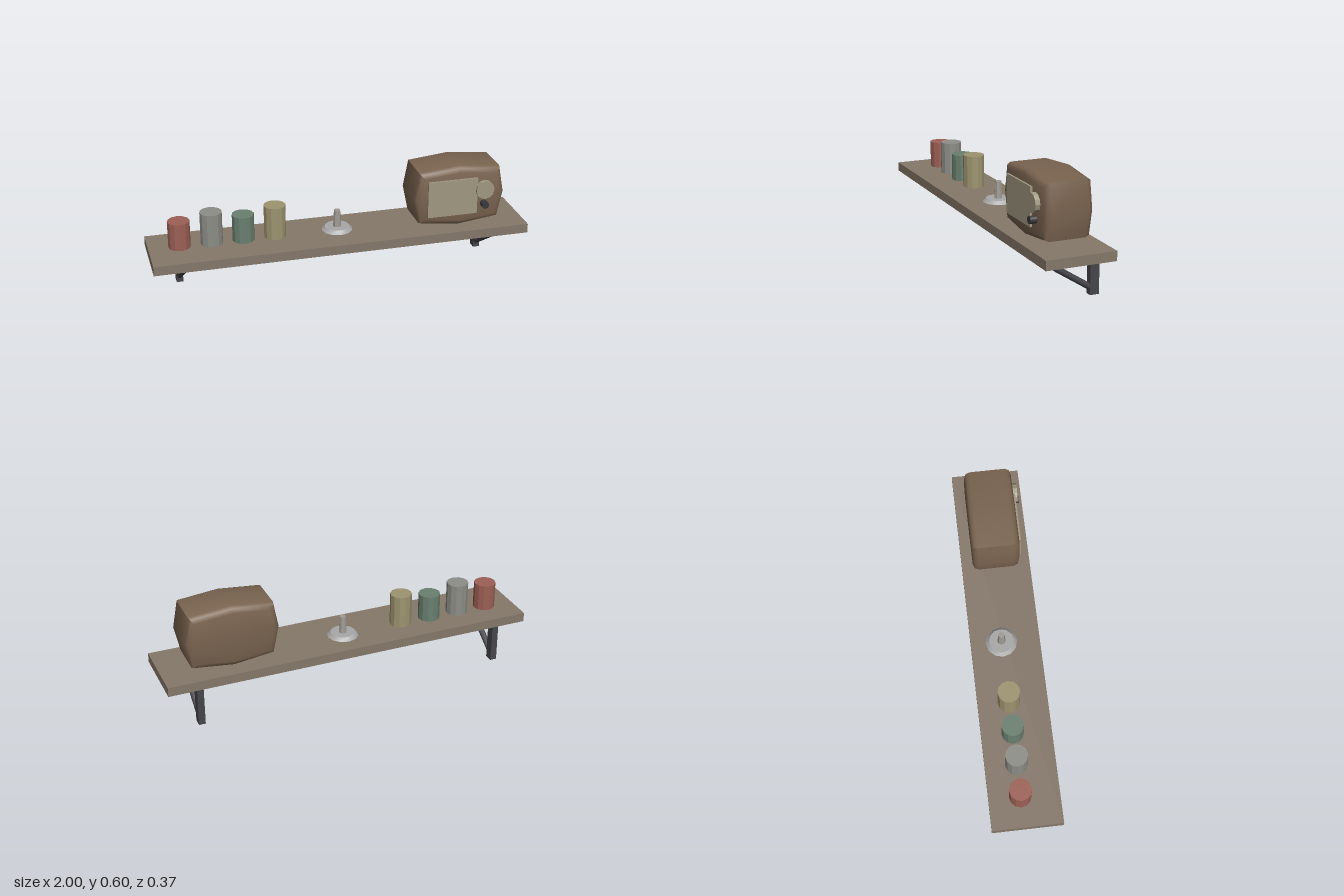
import * as THREE from 'three';
import { toCreasedNormals } from 'three/addons/utils/BufferGeometryUtils.js';

const material = (color) => new THREE.MeshStandardMaterial({ color });

function add(parent, name, geometry, mat, x = 0, y = 0, z = 0) {
  const mesh = new THREE.Mesh(geometry, mat);
  mesh.name = name;
  mesh.position.set(x, y, z);
  parent.add(mesh);
  return mesh;
}

// Low-sided round part with visible facets
const drum = (rTop, rBottom, height, sides = 12) =>
  toCreasedNormals(new THREE.CylinderGeometry(rTop, rBottom, height, sides), 0.4);

// Wall bracket: square post and a sloping round strut
function createBracket(x, mat) {
  const bracket = new THREE.Group();
  bracket.name = 'bracket';
  bracket.position.x = x;
  add(bracket, 'bracketPost', new THREE.BoxGeometry(0.035, 0.21, 0.048), mat, 0, 0.105, -0.149);
  const low = new THREE.Vector3(0, 0.031, -0.14);
  const high = new THREE.Vector3(0, 0.218, 0.151);
  const along = high.clone().sub(low);
  const strut = add(bracket, 'bracketStrut', new THREE.CylinderGeometry(0.016, 0.016, along.length(), 10), mat);
  strut.position.copy(low).lerp(high, 0.5);
  strut.quaternion.setFromUnitVectors(new THREE.Vector3(0, 1, 0), along.normalize());
  return bracket;
}

// Table radio: bulging bevelled case, front panel, dial and knob
function createRadio() {
  const radio = new THREE.Group();
  radio.name = 'radio';
  radio.position.set(0.632, 0.435, 0);
  const outline = [
    [-0.248, 0], [-0.218, -0.141], [0, -0.167], [0.218, -0.141],
    [0.248, 0], [0.221, 0.145], [0, 0.167], [-0.221, 0.145],
  ].map(([x, y]) => new THREE.Vector2(x, y));
  const bevel = 0.03;
  const body = new THREE.ExtrudeGeometry(new THREE.Shape(outline), {
    depth: 0.25 - 2 * bevel, bevelThickness: bevel, bevelSize: bevel,
    bevelOffset: -bevel, bevelSegments: 2,
  });
  body.translate(0, 0, bevel - 0.125);
  add(radio, 'radioCase', toCreasedNormals(body, 1.0), material(0x7a6450));

  const panelMat = material(0xa09880);
  add(radio, 'radioPanel', new THREE.BoxGeometry(0.272, 0.2, 0.02), panelMat, -0.044, 0.001, 0.126);
  const dial = add(radio, 'radioDial', drum(0.05, 0.05, 0.03), panelMat, 0.131, 0.033, 0.135);
  const knob = add(radio, 'radioKnob', drum(0.02, 0.02, 0.04, 10), material(0x3a3a3e), 0.131, -0.05, 0.14);
  dial.rotation.x = knob.rotation.x = Math.PI / 2;
  return radio;
}

export function createModel() {
  const model = new THREE.Group();
  model.name = 'shelfWithRadio';

  add(model, 'shelfBoard', new THREE.BoxGeometry(2, 0.05, 0.368), material(0x85786a), 0, 0.235, 0);

  const ironMat = material(0x46464b);
  for (const side of [-1, 1]) model.add(createBracket(side * 0.833, ironMat));

  // Row of cans
  const cans = [
    [-0.838, 0.145, 0x9c6055], [-0.67, 0.177, 0x8e8e88],
    [-0.503, 0.145, 0x6a8070], [-0.335, 0.177, 0x9d9470],
  ];
  for (const [x, height, color] of cans) {
    add(model, 'can', drum(0.058, 0.058, height), material(color), x, 0.26 + height / 2, -0.02);
  }

  // Candle holder: sloping dish and slender stem
  const holder = new THREE.Group();
  holder.name = 'candleHolder';
  holder.position.set(0, 0.26, -0.02);
  add(holder, 'holderDish', drum(0.066, 0.083, 0.018), material(0xa8a8a8), 0, 0.009, 0);
  add(holder, 'holderStem', drum(0.017, 0.022, 0.094, 8), material(0xa09c94), 0, 0.063, 0);
  model.add(holder);

  model.add(createRadio());
  return model;
}
